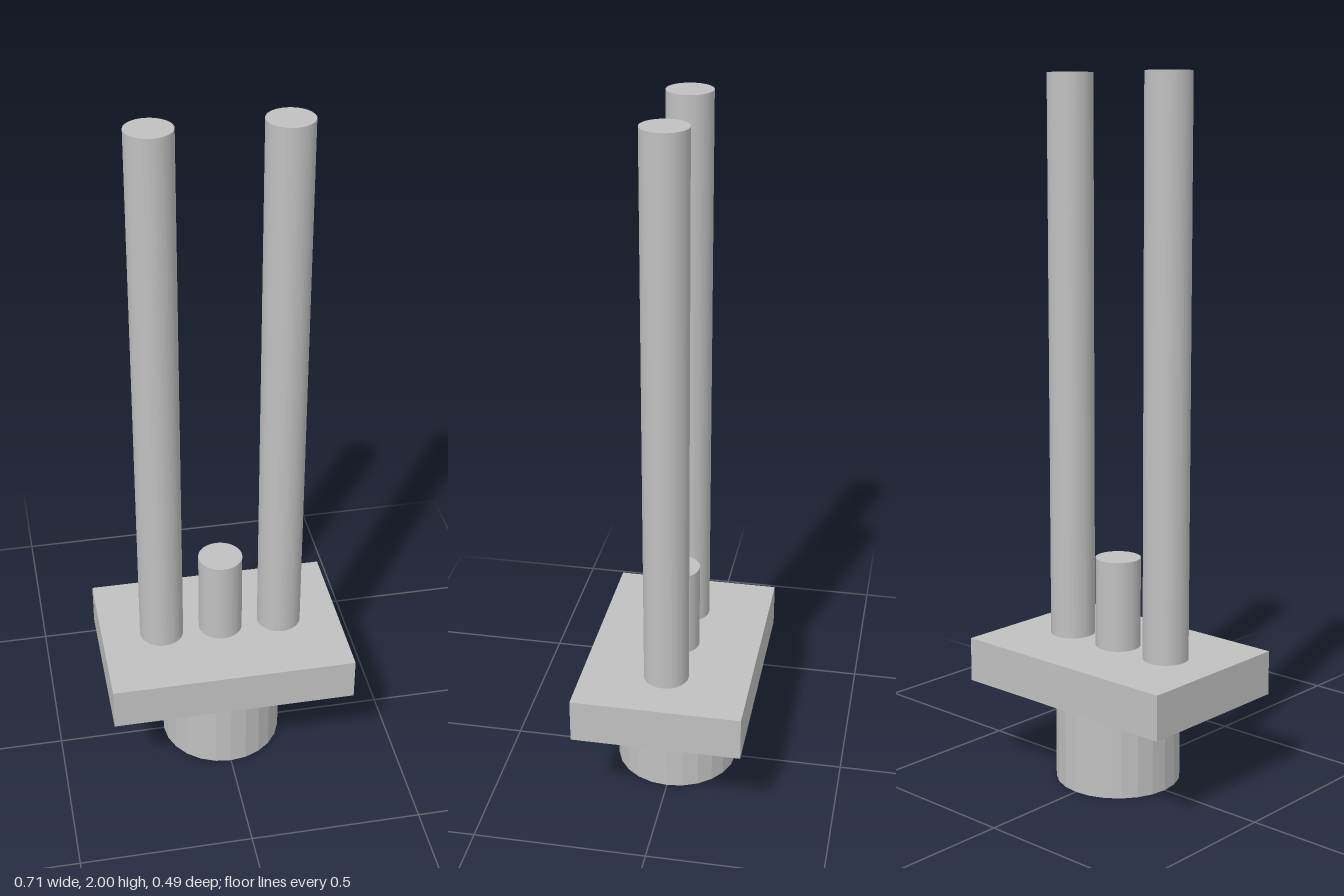
import * as THREE from 'three';

export function createModel() {
  const model = new THREE.Group();
  const grey = new THREE.MeshStandardMaterial({ color: 0xc0c0c0, flatShading: true });
  grey.name = 'grey metal';

  const add = (name, geometry, x, y) => {
    const mesh = new THREE.Mesh(geometry, grey);
    mesh.name = name;
    mesh.position.set(x, y, 0);
    model.add(mesh);
  };
  // Upright cylinder standing between two heights
  const post = (name, radius, bottom, top, x, sides) =>
    add(name, new THREE.CylinderGeometry(radius, radius, top - bottom, sides), x, (bottom + top) / 2);

  const plateBottom = 0.265, plateTop = 0.393;

  // Round base below the rectangular flange
  post('base', 0.179, 0, plateBottom, 0, 24);
  add('flange', new THREE.BoxGeometry(0.714, plateTop - plateBottom, 0.486), 0, (plateBottom + plateTop) / 2);

  // Two long outer pins and a short centre pin
  for (const side of [-1, 1]) {
    post(side > 0 ? 'leftPin' : 'rightPin', 0.0645, plateTop, 2, side * 0.1785, 48);
  }
  post('centrePin', 0.0645, plateTop, 0.653, 0, 48);

  return model;
}
